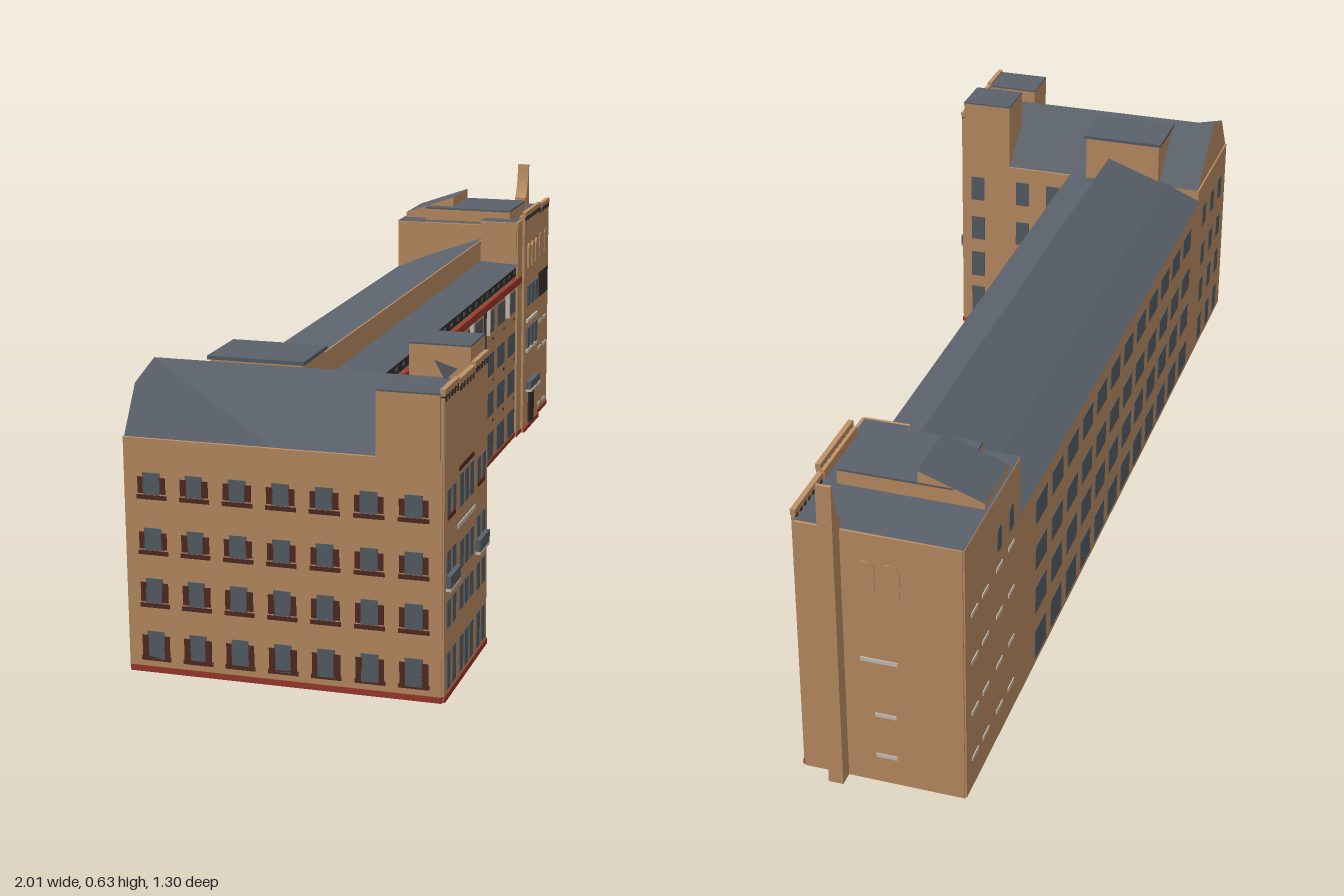
import * as THREE from 'three';

const material = (name, color) => {
  const m = new THREE.MeshStandardMaterial({ color, side: THREE.DoubleSide });
  m.name = name;
  return m;
};

export function createModel() {
  const brick = material('brick', 0xc29367);
  const slate = material('slate', 0x5b626b);
  const glass = material('glass', 0x58626a);
  const red = material('red band', 0xa03c2e);
  const dark = material('dark metal', 0x36302c);
  const maroon = material('maroon trim', 0x562c25);
  const stone = material('pale stone', 0xcfc9bd);

  const model = new THREE.Group();
  model.name = 'building';
  // Local axes: x runs along the long wing, z points to its front
  const site = new THREE.Group();
  site.name = 'turnedPlan';
  site.rotation.y = THREE.MathUtils.degToRad(21.7);
  model.add(site);

  const add = (name, geometry, mat) => {
    const mesh = new THREE.Mesh(geometry, mat);
    mesh.name = name;
    site.add(mesh);
    return mesh;
  };
  const box = (name, mat, x0, x1, y0, y1, z0, z1) => {
    const mesh = add(name, new THREE.BoxGeometry(x1 - x0, y1 - y0, z1 - z0), mat);
    mesh.position.set((x0 + x1) / 2, (y0 + y1) / 2, (z0 + z1) / 2);
  };
  // Flat faces given by their corners
  const surface = (name, mat, faces) => {
    const p = [];
    for (const f of faces)
      for (let i = 1; i < f.length - 1; i++) p.push(...f[0], ...f[i], ...f[i + 1]);
    const g = new THREE.BufferGeometry();
    g.setAttribute('position', new THREE.Float32BufferAttribute(p, 3));
    g.computeVertexNormals();
    add(name, g, mat);
  };
  // Thin walls: along x ('x') at depth z = at, or along z ('z') at x = at
  const panel = (name, mat, axis, at, a, b, y0, y1, t = 0.006) =>
    axis === 'x'
      ? box(name, mat, a, b, y0, y1, at - t / 2, at + t / 2)
      : box(name, mat, at - t / 2, at + t / 2, y0, y1, a, b);
  const wall = (name, axis, at, a, b, h) => panel(name, brick, axis, at, a, b, 0, h);
  const plinth = (axis, at, a, b) => panel('redPlinth', red, axis, at, a, b, 0, 0.011, 0.0098);
  const windows = (axis, at, centres, rows, w, mat = glass) => {
    for (const c of centres)
      for (const [y0, y1] of rows) panel('window', mat, axis, at, c - w / 2, c + w / 2, y0, y1, 0.0094);
  };
  const sills = (axis, at, centres, ys, w, mat = stone) =>
    windows(axis, at, centres, ys.map((y) => [y, y + 0.008]), w, mat);
  const arch = (axis, at, c, y0, y1, w, mat) => {
    const s = new THREE.Shape();
    s.moveTo(-w / 2, y0).lineTo(w / 2, y0).lineTo(w / 2, y1 - w / 2);
    s.absarc(0, y1 - w / 2, w / 2, 0, Math.PI, false);
    const g = new THREE.ExtrudeGeometry(s, { depth: 0.0096, bevelEnabled: false, curveSegments: 8 });
    g.translate(0, 0, -0.0048);
    const m = add('archedWindow', g, mat);
    if (axis === 'x') m.position.set(c, 0, at);
    else {
      m.rotation.y = Math.PI / 2;
      m.position.set(at, 0, c);
    }
  };
  // Parapet with dark slots
  const parapet = (at, a, b, y, n) => {
    panel('parapet', brick, 'x', at, a, b, y, y + 0.012, 0.0096);
    const step = (b - a) / n;
    for (let i = 0; i < n; i++)
      panel('parapetSlot', dark, 'x', at, a + (i + 0.3) * step, a + (i + 0.7) * step, y - 0.01, y + 0.002, 0.0098);
  };
  const spread = (n, first, step) => Array.from({ length: n }, (_, i) => first + i * step);
  const rows = [[0.014, 0.078], [0.12, 0.178], [0.219, 0.272], [0.322, 0.374]];

  // ---- Long wing ----
  const F = 0.025, B = -0.275;
  wall('longFrontWall', 'x', F, -0.668, 0.72, 0.436);
  plinth('x', F, -0.668, 0.72);
  wall('longBackWall', 'x', B, -0.668, 0.75, 0.408);
  const bays = spread(13, -0.6, 0.1064);
  windows('x', F, bays, rows, 0.07);
  windows('x', B, spread(12, -0.56, 0.1064), rows, 0.072);
  // Pale linings behind the front windows
  for (const x of bays)
    for (const [y0, y1] of rows) panel('windowLining', stone, 'x', F - 0.006, x - 0.035, x + 0.035, y0, y1, 0.002);
  box('redCornice', red, -0.668, 0.75, 0.387, 0.404, F, F + 0.012);
  panel('clerestoryBand', dark, 'x', F, -0.66, 0.72, 0.409, 0.43, 0.0085);
  windows('x', F, spread(26, -0.63, 0.0532), [[0.415, 0.424]], 0.018);
  for (const y of [0.1, 0.2, 0.3])
    windows('x', F, bays.map((x) => x + 0.03), [[y, y + 0.006]], 0.006, dark);
  for (const x of [-0.345, 0.41]) box('downpipe', dark, x - 0.003, x + 0.003, 0.01, 0.387, F, F + 0.008);
  for (const x of [-0.223, 0.02, 0.277, 0.428, 0.62])
    box('paleDownpipe', stone, x - 0.004, x + 0.004, 0.325, 0.387, F, F + 0.013);
  panel('upperSetbackWall', brick, 'x', -0.063, -0.668, 0.76, 0.43, 0.492);
  const strip = (name, profile, x0, x1) =>
    surface(name, slate, profile.slice(1).map(([z, y], i) => {
      const [pz, py] = profile[i];
      return [[x0, py, pz], [x1, py, pz], [x1, y, z], [x0, y, z]];
    }));
  strip('lowerFrontRoof', [[F + 0.012, 0.437], [-0.063, 0.442]], -0.668, 0.745);
  strip('mainRoof', [[-0.0595, 0.495], [-0.2, 0.445], [B - 0.006, 0.41]], -0.668, 0.765);

  // ---- Left cross wing ----
  const L = -0.965, R = -0.668, E = 0.305, M = -0.82;
  wall('wingLeftWall', 'z', L, B, E, 0.436);
  wall('wingRightWall', 'z', R, F, E, 0.436);
  wall('wingBackWall', 'x', B, L, R, 0.436);
  wall('wingFrontWall', 'x', E, L, R, 0.545);
  plinth('z', L, B, E);
  plinth('z', R, F, E);
  plinth('x', E, L, R);
  const eave = 0.437, ridge = 0.545;
  surface('backGable', brick, [[[L, eave, B], [-0.91, 0.52, B], [M, ridge, B], [R, eave, B]]]);
  surface('wingRoof', slate, [
    [[R, eave, B], [M, ridge, B], [M, ridge, E], [R, eave, E]],
    [[L, eave, B], [-0.91, 0.52, B], [L, eave, 0]],
    [[-0.91, 0.52, B], [M, ridge, B], [L, eave, 0]],
    [[L, eave, 0], [M, ridge, B], [M, ridge, E], [L, eave, E]],
  ]);
  windows('z', R, [0.267, 0.154, 0.078], [[0.035, 0.105], [0.135, 0.2], [0.235, 0.295], [0.34, 0.4]], 0.033);
  windows('x', B, [-0.9, -0.82, -0.735], rows, 0.034);
  const sideBays = spread(7, -0.225, 0.08);
  windows('z', L, sideBays, rows.map(([a, b]) => [a + 0.012, b]), 0.032);
  sills('z', L, sideBays, [0.022, 0.123, 0.222, 0.325], 0.056, maroon);
  for (const d of [-0.02, 0.02])
    windows('z', L, sideBays.map((z) => z + d), rows.map(([a, b]) => [a + 0.014, b - 0.008]), 0.012, maroon);

  // Corner towers and front of the cross wing
  for (const [x0, x1, top] of [[L, -0.873, 0.552], [-0.762, R, 0.588]]) {
    box('cornerTower', brick, x0 - 0.003, x1 + 0.003, 0.436, top, 0.188, E - 0.004);
    box('towerCap', slate, x0 - 0.003, x1 + 0.003, top, top + 0.003, 0.188, E - 0.004);
    parapet(E, x0, x1, 0.55, 5);
    const c = (x0 + x1) / 2;
    windows('x', E, [c - 0.018, c + 0.018], [[0.018, 0.085], [0.13, 0.18], [0.23, 0.27], [0.335, 0.38]], 0.022);
    box('towerLedge', stone, c - 0.034, c + 0.034, 0.2, 0.206, E, E + 0.012);
    box('towerBalcony', slate, c - 0.034, c + 0.034, 0.206, 0.228, E, E + 0.012);
    sills('x', E, [c], [0.325], 0.05, maroon);
  }
  windows('x', E, [-0.852, -0.817, -0.782], [[0.018, 0.085], [0.135, 0.18], [0.21, 0.262], [0.325, 0.385]], 0.024);
  sills('x', E, [-0.817], [0.29], 0.12);
  sills('x', E, [-0.817], [0.392], 0.1, maroon);
  parapet(E, -0.87, -0.765, 0.545, 5);
  surface('frontPeak', slate, [[[-0.86, 0.55, 0.28], [-0.775, 0.55, 0.28], [M, 0.575, 0.25]]]);

  // Stair block where the wings meet
  box('stairBlock', brick, -0.785, -0.66, 0.42, 0.54, -0.18, -0.005);
  box('stairBlockRoof', slate, -0.79, -0.655, 0.54, 0.547, -0.185, 0);

  // ---- Right end block ----
  const X0 = 0.72, X1 = 1.058, G = F + 0.005;
  wall('endBlockFrontWall', 'x', G, X0, X1, 0.54);
  plinth('x', G, X0, X1);
  wall('endBlockBackWall', 'x', B, 0.745, X1, 0.526);
  wall('endWall', 'z', X1, B, G, 0.526);
  panel('innerSideWall', brick, 'z', X0, -0.06, G, 0.4, 0.54);
  panel('innerBackSideWall', brick, 'z', 0.745, B, -0.06, 0.38, 0.526);
  strip('endRoof', [[G, 0.53], [B - 0.003, 0.528]], 0.742, X1 + 0.003);
  strip('endFrontRoof', [[G, 0.54], [-0.062, 0.54]], X0, 0.77);
  box('endTower', brick, 0.768, 0.93, 0.5, 0.556, -0.215, 0);
  box('endTowerCap', slate, 0.768, 0.93, 0.556, 0.56, -0.215, 0);

  // Raised shed roof behind the tower, falling to the back
  const shed = (x) => [[x, 0.528, -0.15], [x, 0.583, -0.15], [x, 0.54, -0.272], [x, 0.528, -0.272]];
  const s0 = shed(0.795), s1 = shed(0.93);
  surface('shedWalls', brick, [s0, s1, [s0[0], s1[0], s1[1], s0[1]], [s0[2], s1[2], s1[3], s0[3]]]);
  surface('shedRoof', slate, [[s0[1], s1[1], s1[2], s0[2]]]);

  box('frontBay', brick, 0.765, 0.925, 0, 0.548, F, F + 0.014);
  parapet(F + 0.012, 0.765, 0.925, 0.547, 9);
  parapet(G, 0.93, X1, 0.536, 7);

  // Entrance and windows of the end block
  const P = F + 0.014;
  plinth('x', P, 0.765, 0.925);
  panel('entranceDoor', dark, 'x', P, 0.82, 0.868, 0.011, 0.09, 0.0096);
  box('entranceCanopy', stone, 0.795, 0.9, 0.098, 0.104, P, P + 0.015);
  box('canopyTop', slate, 0.795, 0.9, 0.104, 0.124, P, P + 0.013);
  windows('x', P, [0.805, 0.845, 0.885], [[0.21, 0.262], [0.318, 0.37]], 0.024);
  sills('x', P, [0.845], [0.2, 0.276], 0.11);
  for (const x of [0.805, 0.845, 0.885]) arch('x', P, x, 0.415, 0.475, 0.026, brick);
  windows('x', G, spread(4, 0.95, 0.029), [[0.308, 0.372]], 0.023, dark);
  sills('x', G, [0.965, 1.02], [0.02, 0.17, 0.24], 0.035);
  for (const x of [0.965, 1.02]) arch('x', G, x, 0.415, 0.475, 0.026, brick);
  for (const z of [-0.1, -0.145]) arch('z', X1, z, 0.402, 0.472, 0.034, brick);
  sills('z', X1, [-0.12], [0.262], 0.07);
  sills('z', X1, [-0.13], [0.055, 0.145], 0.04);
  sills('x', B, [0.8, 0.87, 0.95, 1.01], [0.06, 0.16, 0.27, 0.37], 0.035);
  for (const x of [0.8, 0.87]) arch('x', B, x, 0.41, 0.46, 0.024, glass);

  // Tall chimney on the end wall, tapering outward to its top
  const outline = new THREE.Shape();
  outline.moveTo(1.054, 0).lineTo(1.09, 0).lineTo(1.09, 0.627).lineTo(1.084, 0.627);
  outline.quadraticCurveTo(1.078, 0.57, 1.054, 0.545);
  const chimney = new THREE.ExtrudeGeometry(outline, { depth: 0.028, bevelEnabled: false, curveSegments: 5 });
  add('endChimney', chimney, brick).position.z = -0.055;

  return model;
}
